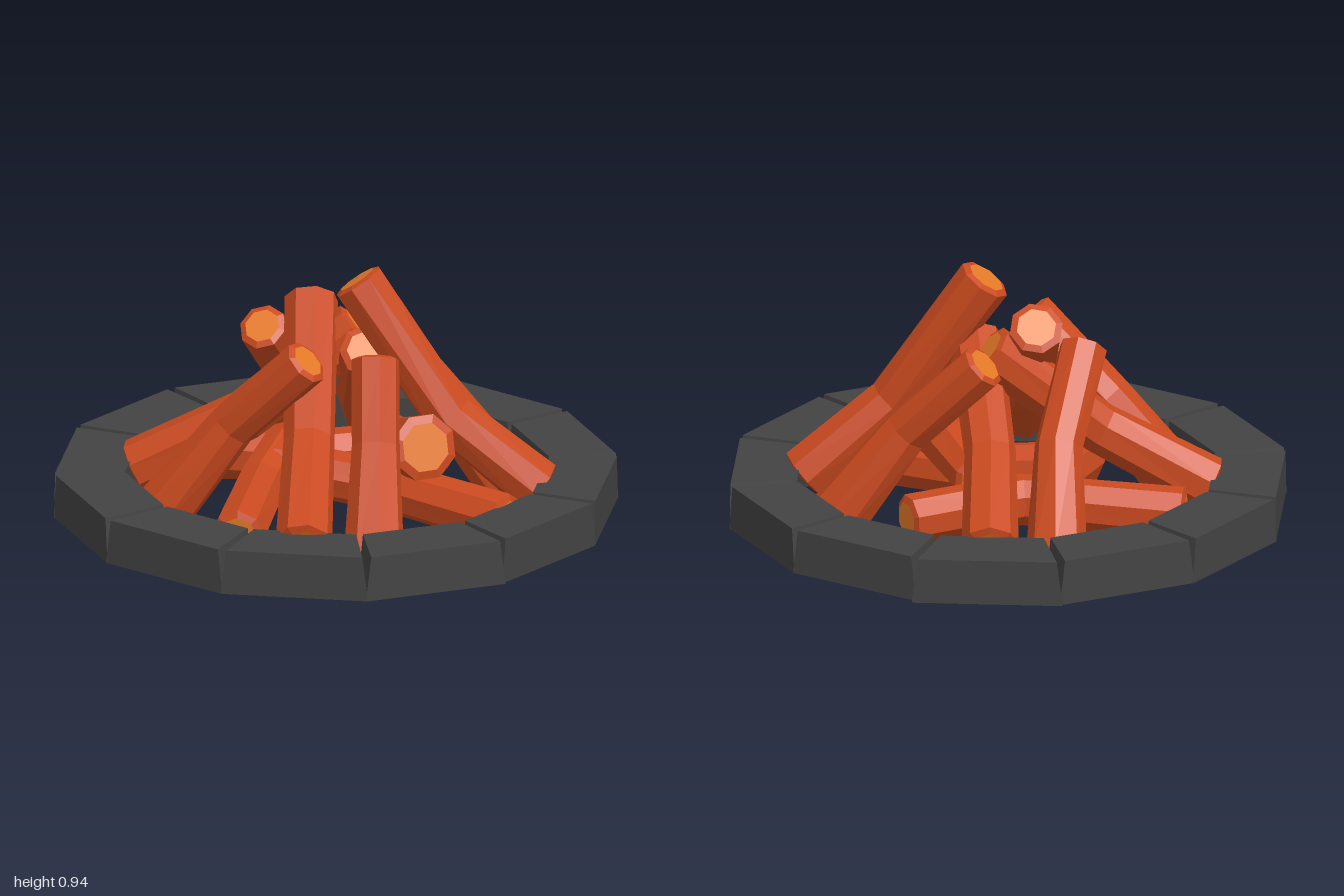
import * as THREE from 'three';
import { ConvexGeometry } from 'three/addons/geometries/ConvexGeometry.js';

const SIDES = 8;
const V = (x, y, z) => new THREE.Vector3(x, y, z);

// A bent octagonal log: bark on group 0, cut ends on group 1
function logGeometry(points, radii, roll) {
  const [a, b, c] = points.map((p) => V(...p));
  const [ra, rb, rc] = radii;
  const t0 = b.clone().sub(a).normalize();
  const t2 = c.clone().sub(b).normalize();
  const t1 = t0.clone().add(t2).normalize();
  const sections = [
    [a.clone().addScaledVector(t0, -0.01), t0, ra * 0.74],
    [a, t0, ra],
    [b, t1, rb],
    [c, t2, rc],
    [c.clone().addScaledVector(t2, 0.01), t2, rc * 0.74],
  ];
  const ref = V(0, 1, 0);
  const rings = sections.map(([p, t, r]) => {
    const n = ref.clone().addScaledVector(t, -ref.dot(t)).normalize();
    const m = t.clone().cross(n);
    return Array.from({ length: SIDES }, (_, j) => {
      const ang = roll + (j / SIDES) * Math.PI * 2;
      return p.clone()
        .addScaledVector(n, Math.cos(ang) * r)
        .addScaledVector(m, Math.sin(ang) * r);
    });
  });
  const verts = [];
  for (let i = 0; i < rings.length - 1; i++) {
    for (let j = 0; j < SIDES; j++) {
      const k = (j + 1) % SIDES;
      const [p, q] = [rings[i], rings[i + 1]];
      verts.push(p[j], p[k], q[k], p[j], q[k], q[j]);
    }
  }
  const barkCount = verts.length;
  const first = rings[0];
  const last = rings[rings.length - 1];
  for (let j = 0; j < SIDES; j++) {
    const k = (j + 1) % SIDES;
    verts.push(sections[0][0], first[k], first[j]);
    verts.push(sections[4][0], last[j], last[k]);
  }
  const geo = new THREE.BufferGeometry().setFromPoints(verts);
  geo.addGroup(0, barkCount, 0);
  geo.addGroup(barkCount, verts.length - barkCount, 1);
  geo.computeVertexNormals();
  return geo;
}

// One wedge stone; narrower on top for a notch, overlapping its neighbours below
function stoneGeometry(index, outer) {
  const step = Math.PI / 6;
  const pts = [];
  for (const [y, gap, grow] of [[0.04, -0.004, 0.004], [0.2, 0.016, -0.002]]) {
    for (const r of [0.74, outer + grow]) {
      for (const ang of [index * step + gap, (index + 1) * step - gap]) {
        pts.push(V(Math.cos(ang) * r, y, Math.sin(ang) * r));
      }
    }
  }
  return new ConvexGeometry(pts);
}

export function createModel() {
  const bark = new THREE.MeshStandardMaterial({ color: 0xca4a1f });
  bark.name = 'bark';
  const cutWood = new THREE.MeshStandardMaterial({ color: 0xea7c28 });
  cutWood.name = 'cutWood';
  const stone = new THREE.MeshStandardMaterial({ color: 0x434343 });
  stone.name = 'stone';

  const model = new THREE.Group();
  model.name = 'campfire';

  // Ring of twelve stones
  const ring = new THREE.Group();
  ring.name = 'stoneRing';
  for (let i = 0; i < 12; i++) {
    const outer = i === 8 ? 1.0 : i >= 9 || i === 0 ? 0.978 : 0.988;
    const mesh = new THREE.Mesh(stoneGeometry(i, outer), stone);
    mesh.name = 'ringStone' + (i + 1);
    ring.add(mesh);
  }
  model.add(ring);

  // Radii at the foot, bend and upper end
  const LEAN = [0.1, 0.09, 0.095];
  const STEEP = [0.108, 0.085, 0.085];
  const LOW = [0.095, 0.09, 0.09];

  // Each log runs from its foot, through its bend, to its upper end
  const logs = {
    // long leaning logs
    tallLog: [LEAN, [0.68, 0.16, -0.18], [0.4, 0.42, -0.055], [0.08, 0.885, 0]],
    frontLog: [LEAN, [0.18, 0.155, 0.69], [0.03, 0.385, 0.31], [-0.14, 0.76, -0.09]],
    sideLog: [LEAN, [-0.68, 0.155, 0.185], [-0.32, 0.36, 0.07], [0.02, 0.67, -0.12]],
    backLog: [LEAN, [-0.17, 0.155, -0.67], [-0.05, 0.36, -0.32], [0.13, 0.65, 0.04]],
    // steep outer logs
    frontOuterLog: [STEEP, [0.375, 0.06, 0.53], [0.28, 0.4, 0.3], [0.22, 0.67, 0.17]],
    rightOuterLog: [STEEP, [0.51, 0.07, -0.35], [0.27, 0.4, -0.28], [-0.01, 0.67, -0.28]],
    backOuterLog: [STEEP, [-0.355, 0.07, -0.5], [-0.285, 0.4, -0.27], [-0.28, 0.67, 0.01]],
    leftOuterLog: [STEEP, [-0.51, 0.07, 0.36], [-0.27, 0.4, 0.29], [0.01, 0.67, 0.29]],
    // low logs at the base
    lowBackLog: [LOW, [-0.67, 0.13, -0.07], [-0.12, 0.16, -0.19], [0.19, 0.15, -0.49]],
    lowFrontLog: [LOW, [-0.08, 0.14, 0.67], [-0.19, 0.17, 0.22], [-0.22, 0.22, -0.08]],
    lowRightLog: [LOW, [0.7, 0.14, 0.14], [0.2, 0.16, 0.03], [-0.2, 0.2, 0.08]],
    innerLog: [[0.085, 0.095, 0.12], [0.02, 0.25, -0.26], [0.2, 0.29, -0.05], [0.39, 0.36, 0.13]],
  };
  const pile = new THREE.Group();
  pile.name = 'logPile';
  Object.entries(logs).forEach(([name, [radii, ...points]], i) => {
    const mesh = new THREE.Mesh(logGeometry(points, radii, (i % 3) * 0.2), [bark, cutWood]);
    mesh.name = name;
    pile.add(mesh);
  });
  model.add(pile);

  return model;
}
